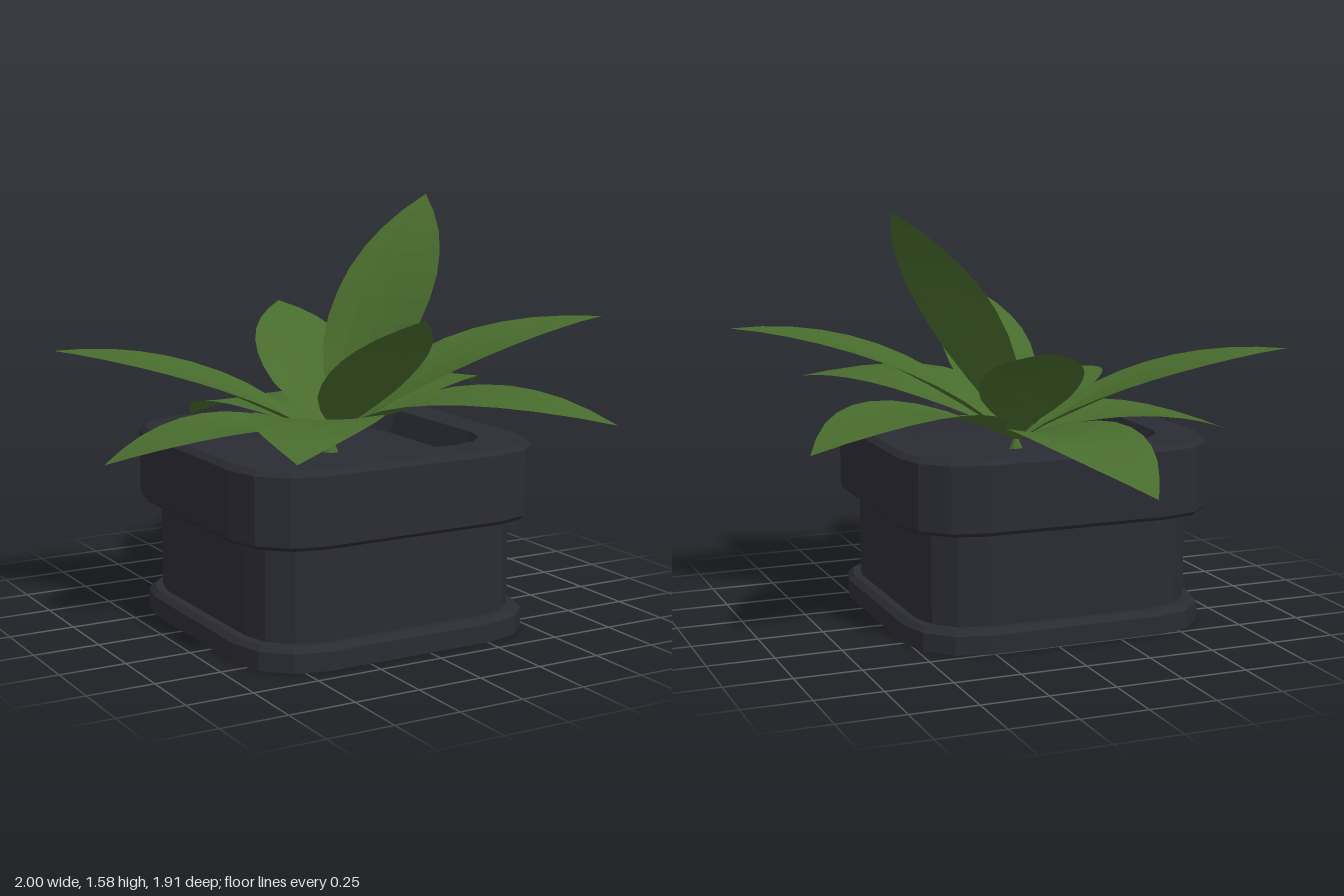
import * as THREE from 'three';

const POT_X = -0.075, POT_Z = 0.09;

// Rounded square ring of half-width h and corner radius r, three facets per corner
function ringPoints(h, r) {
  const points = [];
  for (let corner = 0; corner < 4; corner++) {
    const a0 = corner * Math.PI / 2;
    const cx = Math.SQRT2 * (h - r) * Math.cos(a0 + Math.PI / 4);
    const cz = Math.SQRT2 * (h - r) * Math.sin(a0 + Math.PI / 4);
    for (let k = 0; k <= 3; k++) {
      const a = a0 + k * Math.PI / 6;
      points.push([cx + r * Math.cos(a), cz + r * Math.sin(a)]);
    }
  }
  return points;
}

// Skin over rings given as [half-width, corner radius, height], from the underside upwards
function ringLoft(name, rings, material) {
  const pos = [], index = [], n = 16;
  rings.forEach(([h, r, y], i) => {
    ringPoints(h, r).forEach(([x, z], j) => {
      pos.push(x, y, z);
      if (i === rings.length - 1) return;
      const a = i * n + j, b = i * n + (j + 1) % n;
      if (h > 0) index.push(a, a + n, b);
      if (rings[i + 1][0] > 0) index.push(b, a + n, b + n);
    });
  });
  const geo = new THREE.BufferGeometry();
  geo.setAttribute('position', new THREE.Float32BufferAttribute(pos, 3));
  geo.setIndex(index);
  const flat = geo.toNonIndexed();
  flat.computeVertexNormals();
  const mesh = new THREE.Mesh(flat, material);
  mesh.name = name;
  mesh.position.set(POT_X, 0, POT_Z);
  return mesh;
}

// Half-width of a leaf along its length, as a fraction of the widest part
const LEAF_WIDTH = [0.06, 0.27, 0.64, 0.88, 0.98, 1, 0.95, 0.82, 0.62, 0.34, 0];

// Arching blade, cupped near the crown and flat towards its tip
function leafGeometry(tip, midY, halfWidth, reach, bend = 0) {
  const end = new THREE.Vector3(...tip);
  const out = new THREE.Vector3(end.x + 0.05, 0, end.z - 0.04).normalize();
  const side = new THREE.Vector3(out.z, 0, -out.x);
  const start = new THREE.Vector3(-0.05, 0.68, 0.04).addScaledVector(out, 0.02);
  const control = start.clone().lerp(end, reach).addScaledVector(side, bend);
  control.y = midY;
  const spine = new THREE.QuadraticBezierCurve3(start, control, end);
  const rows = LEAF_WIDTH.length - 1, cols = 4, pos = [], index = [];
  for (let i = 0; i <= rows; i++) {
    const t = i / rows, p = spine.getPoint(t);
    const up = spine.getTangent(t).cross(side).normalize();
    const w = LEAF_WIDTH[i] * halfWidth, cup = 0.28 * (1 - t) ** 2;
    for (let j = 0; j <= cols; j++) {
      const s = (j / cols) * 2 - 1;
      const v = p.clone().addScaledVector(side, s * w)
        .addScaledVector(up, (s * s - 0.5) * w * cup);
      pos.push(v.x, v.y, v.z);
      if (i < rows && j < cols) {
        const a = i * (cols + 1) + j, b = a + cols + 1;
        index.push(a, a + 1, b);
        if (i < rows - 1) index.push(a + 1, b + 1, b);
      }
    }
  }
  const geo = new THREE.BufferGeometry();
  geo.setAttribute('position', new THREE.Float32BufferAttribute(pos, 3));
  geo.setIndex(index);
  geo.computeVertexNormals();
  return geo;
}

export function createModel() {
  const model = new THREE.Group();
  model.name = 'pottedPlant';

  const potColour = new THREE.MeshStandardMaterial({ color: 0x2b2b34, flatShading: true });
  potColour.name = 'charcoal';
  const leafColour = new THREE.MeshStandardMaterial({
    color: 0x486c2d, flatShading: true, side: THREE.DoubleSide });
  leafColour.name = 'leafGreen';

  // Pot: foot, body, overhanging rim with a rounded square opening, and soil
  const pot = new THREE.Group();
  pot.name = 'pot';
  pot.add(
    ringLoft('potFoot', [
      [0, 0, 0], [0.59, 0.25, 0], [0.59, 0.25, 0.07], [0.57, 0.23, 0.09], [0.53, 0.2, 0.09],
    ], potColour),
    ringLoft('potBody', [[0.54, 0.21, 0.09], [0.54, 0.21, 0.44]], potColour),
    ringLoft('potRim', [
      [0.53, 0.2, 0.44], [0.595, 0.235, 0.44], [0.61, 0.25, 0.455], [0.61, 0.25, 0.7],
      [0.59, 0.23, 0.72], [0.45, 0.18, 0.72], [0.42, 0.16, 0.63],
    ], potColour),
    ringLoft('soil', [[0.42, 0.16, 0.63], [0, 0, 0.63]], potColour),
  );
  model.add(pot);

  // Leaves: tip, height of the arch control, half-width, control reach, sideways bend
  const leaves = [
    [[-0.17, 0.63, -0.96], 0.89, 0.22, 0.43],
    [[0.14, 1.12, -0.74], 1.02, 0.19, 0.46],
    [[0.53, 1.58, -0.21], 1.28, 0.22, 0.38, -0.08],
    [[0.90, 0.76, -0.41], 0.98, 0.24, 0.47, -0.05],
    [[0.995, 1.12, 0.35], 1.12, 0.26, 0.45, -0.03],
    [[0.605, 0.82, 0.955], 1.01, 0.25, 0.4],
    [[-0.09, 1.22, 0.77], 1.04, 0.185, 0.48],
    [[-0.66, 0.80, 0.90], 0.97, 0.24, 0.43],
    [[-0.955, 0.66, -0.02], 0.87, 0.22, 0.45],
    [[-1.0, 1.035, -0.375], 1.02, 0.25, 0.48],
  ];
  const foliage = new THREE.Group();
  foliage.name = 'foliage';
  leaves.forEach((spec, i) => {
    const leaf = new THREE.Mesh(leafGeometry(...spec), leafColour);
    leaf.name = `leaf${i + 1}`;
    foliage.add(leaf);
  });

  // Short stem joining the crown to the soil
  const stem = new THREE.Mesh(new THREE.ConeGeometry(0.035, 0.08, 8), leafColour);
  stem.name = 'stem';
  stem.position.set(-0.05, 0.66, 0.04);
  foliage.add(stem);
  model.add(foliage);

  return model;
}
